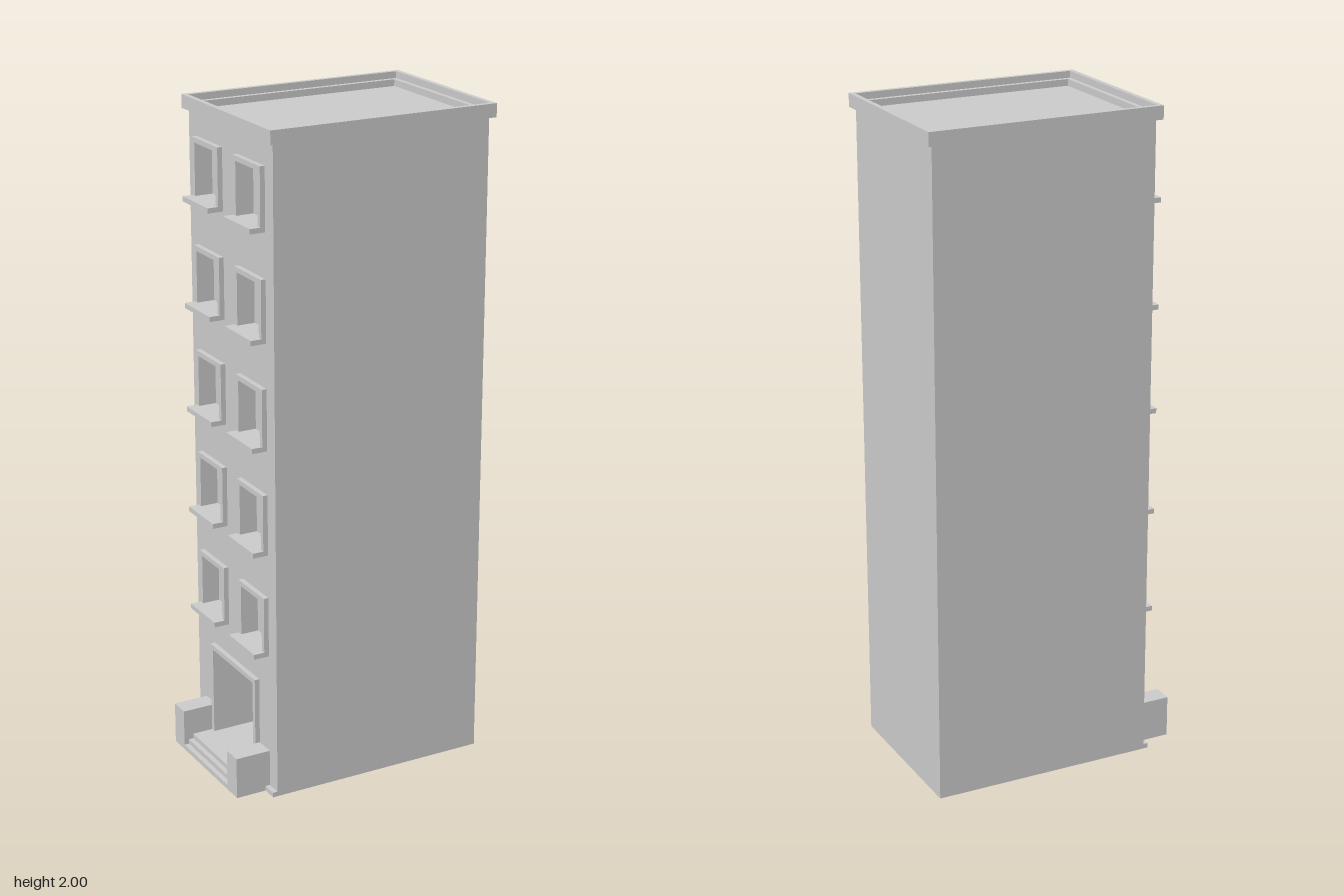
import * as THREE from 'three';

const FRONT = -0.295, BACK = 0.39, HALF = 0.255, ROOF = 1.96;
const FRAME = 0.015; // trim thickness and projection

export function createModel() {
  const model = new THREE.Group();
  const grey = new THREE.MeshStandardMaterial({ color: 0xcccccc, flatShading: true });

  const add = (name, geometry) => {
    const mesh = new THREE.Mesh(geometry, grey);
    mesh.name = name;
    model.add(mesh);
    return mesh;
  };

  // box given by its limits on each axis
  const box = (name, x0, x1, y0, y1, z0, z1) =>
    add(name, new THREE.BoxGeometry(x1 - x0, y1 - y0, z1 - z0)
      .translate((x0 + x1) / 2, (y0 + y1) / 2, (z0 + z1) / 2));

  const trace = (path, [a0, a1, b0, b1]) => {
    path.moveTo(a0, b0);
    path.lineTo(a1, b0);
    path.lineTo(a1, b1);
    path.lineTo(a0, b1);
    path.closePath();
    return path;
  };

  const panel = (outer, holes, depth) => {
    const shape = trace(new THREE.Shape(), outer);
    holes.forEach(h => shape.holes.push(trace(new THREE.Path(), h)));
    return new THREE.ExtrudeGeometry(shape, { depth, bevelEnabled: false });
  };

  // upright panel in the z-y plane, filling x0..x1
  const wall = (name, x0, x1, outer, holes) =>
    add(name, panel(outer, holes, x1 - x0).rotateY(-Math.PI / 2).translate(x1, 0, 0));

  // horizontal ring in the x-z plane, filling y0..y1
  const ring = (name, y0, y1, outer, hole) =>
    add(name, panel(outer, [hole], y1 - y0).rotateX(-Math.PI / 2).translate(0, y0, 0));

  const inset = ([a0, a1, b0, b1], t) => [a0 + t, a1 - t, b0 + t, b1 - t];

  // openings as [z0, z1, y0, y1], outer edge of the trim
  const door = [-0.145, 0.145, 0, 0.335];
  const doorway = [-0.13, 0.13, 0.045, 0.32];
  const windows = [];
  for (let floor = 0; floor < 5; floor++) {
    const y = 0.435 + floor * 0.3175;
    for (const z of [-0.2075, 0.0475]) windows.push([z, z + 0.16, y, y + 0.185]);
  }

  // body: pierced facade, entrance layer, solid core
  const face = [-HALF, HALF, 0, ROOF];
  const windowDepth = FRONT + 0.04, doorDepth = FRONT + 0.2;
  wall('facade', FRONT, windowDepth, face, [doorway, ...windows.map(w => inset(w, FRAME))]);
  wall('entranceWall', windowDepth, doorDepth, face, [doorway]);
  box('bodyCore', doorDepth, BACK, 0, ROOF, -HALF, HALF);

  // window trims and sills
  for (const w of windows) {
    wall('windowFrame', FRONT - FRAME, FRONT, w, [inset(w, FRAME)]);
    box('windowSill', -0.343, FRONT, w[2], w[2] + FRAME, w[0], w[1]);
  }

  // entrance trim, stoop and side blocks
  wall('doorFrame', FRONT - FRAME, FRONT, door, [doorway]);
  for (let i = 0; i < 3; i++) {
    box('step', -0.405 + i * 0.015, FRONT, i * 0.015, (i + 1) * 0.015, -0.145, 0.145);
  }
  box('stoopBlock', -0.405, FRONT, 0, 0.128, 0.145, 0.2075);
  box('stoopBlock', -0.405, FRONT, 0, 0.128, -0.2075, -0.145);
  box('plinth', FRONT - FRAME, FRONT, 0, 0.015, -HALF, HALF);

  // stepped parapet and cornice around the flat roof
  const plan = [FRONT, BACK, -HALF, HALF];
  ring('parapet', ROOF, 1.98, plan, inset(plan, FRAME));
  ring('cornice', ROOF, 2, inset(plan, -FRAME), plan);

  return model;
}
